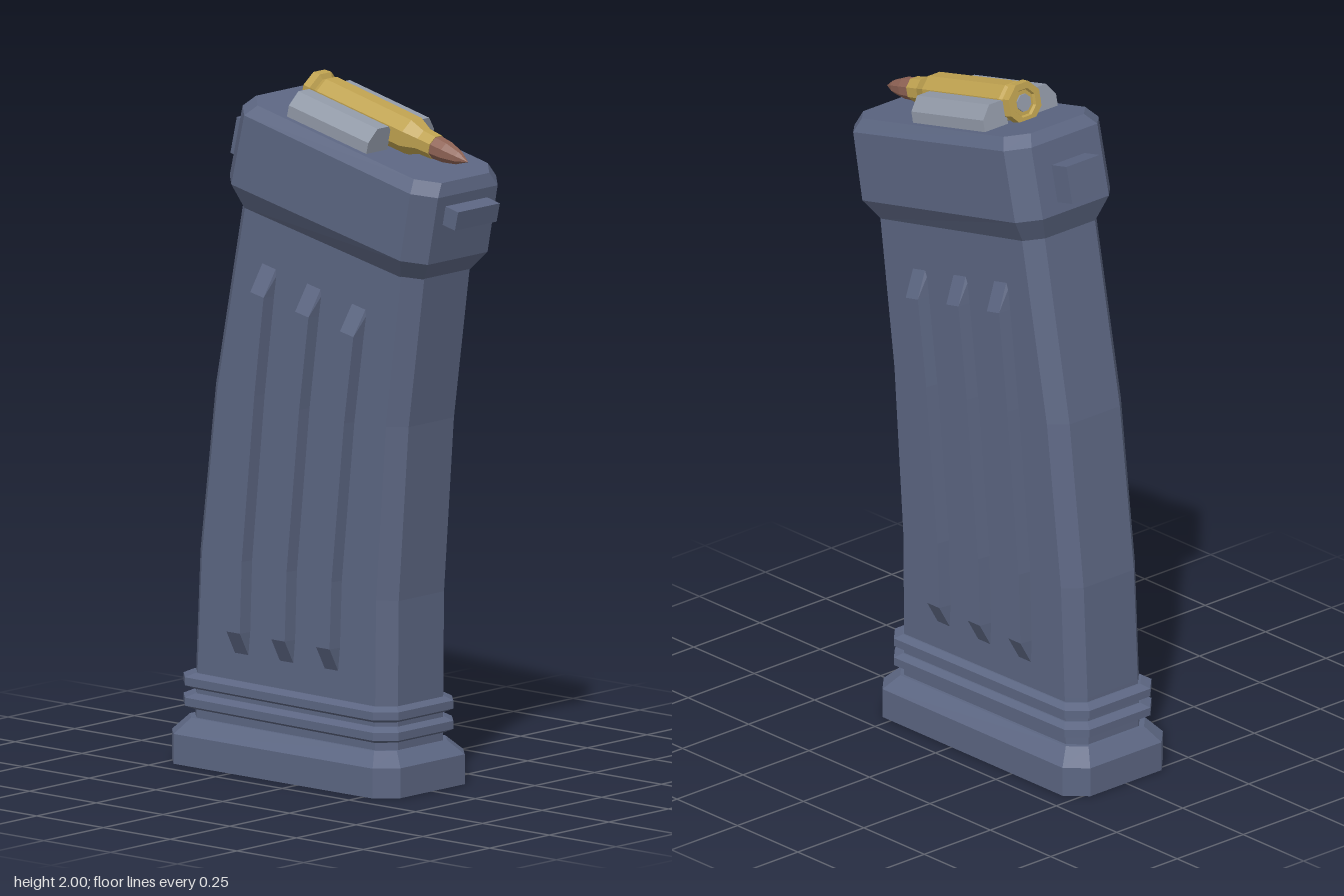
import * as THREE from 'three';

const TILT = -0.225; // lean of the top end

const mat = (name, color, flatShading = true) => {
  const m = new THREE.MeshStandardMaterial({ color, flatShading });
  m.name = name;
  return m;
};

// Flat-faced skin over equal rings (counterclockwise seen from above), capped at both ends
function loft(rings) {
  const pos = [], n = rings[0].length;
  const tri = (a, b, c) => pos.push(...a, ...b, ...c);
  for (let i = 0; i < rings.length - 1; i++) {
    for (let j = 0; j < n; j++) {
      const k = (j + 1) % n;
      const a = rings[i][j], b = rings[i][k], c = rings[i + 1][k], d = rings[i + 1][j];
      tri(a, b, c);
      tri(a, c, d);
    }
  }
  const lo = rings[0], hi = rings[rings.length - 1];
  for (let j = 1; j < n - 1; j++) {
    tri(lo[0], lo[j + 1], lo[j]);
    tri(hi[0], hi[j], hi[j + 1]);
  }
  const g = new THREE.BufferGeometry();
  g.setAttribute('position', new THREE.Float32BufferAttribute(pos, 3));
  g.computeVertexNormals();
  return g;
}

// Chamfered rectangle spanning (xl, yl) to (xr, yr), half depth hz, corner cut c
function section([xl, yl, xr, yr, hz, c]) {
  const w = xr - xl, f = c / w;
  const at = (u, z) => [xl + w * u, yl + (yr - yl) * u, z];
  return [
    at(1, hz - c), at(1, c - hz), at(1 - f, -hz), at(f, -hz),
    at(0, c - hz), at(0, hz - c), at(f, hz), at(1 - f, hz),
  ];
}

export function createModel() {
  const group = new THREE.Group();
  const casing = mat('blue grey casing', 0x5c6682);
  const steel = mat('light grey', 0x929aa8);
  const brass = mat('brass', 0xbfa250);
  const copper = mat('copper', 0x8f6355);

  const add = (name, geometry, material, parent = group) => {
    const m = new THREE.Mesh(geometry, material);
    m.name = name;
    parent.add(m);
    return m;
  };

  // Curved main body
  add('body', loft([
    [-0.465, 0.1, 0.295, 0.1, 0.14, 0.045],
    [-0.46, 0.27, 0.295, 0.25, 0.14, 0.045],
    [-0.444, 0.6, 0.298, 0.55, 0.14, 0.045],
    [-0.386, 1.08, 0.335, 1.05, 0.14, 0.045],
    [-0.28, 1.63, 0.395, 1.49, 0.14, 0.045],
  ].map(section)), casing);

  // Foot plate
  add('footPlate', loft([
    [-0.515, 0, 0.34, 0, 0.19, 0.055],
    [-0.515, 0.085, 0.34, 0.085, 0.19, 0.055],
    [-0.475, 0.13, 0.3, 0.125, 0.15, 0.045],
  ].map(section)), casing);

  // Two bands above the foot plate
  for (const y of [0.155, 0.213]) {
    add('band', loft([
      [-0.465, y, 0.295, y - 0.008, 0.145, 0.045],
      [-0.49, y + 0.01, 0.315, y + 0.002, 0.165, 0.05],
      [-0.49, y + 0.033, 0.315, y + 0.025, 0.165, 0.05],
      [-0.465, y + 0.045, 0.295, y + 0.037, 0.145, 0.045],
    ].map(section)), casing);
  }

  // Wide collar at the top
  add('collar', loft([
    [-0.285, 1.615, 0.39, 1.476, 0.14, 0.045],
    [-0.308, 1.688, 0.434, 1.53, 0.18, 0.055],
    [-0.26, 1.892, 0.472, 1.725, 0.18, 0.055],
    [-0.232, 1.92, 0.463, 1.763, 0.155, 0.055],
  ].map(section)), casing);

  // Raised ribs on both sides: height, centre x, outer z, lean factor
  const path = [
    [0.33, -0.082, 0.138, 0], [0.4, -0.08, 0.178, 0], [0.6, -0.073, 0.178, 0.04],
    [1.07, -0.026, 0.178, 0.1], [1.34, 0.009, 0.178, 0.2], [1.42, 0.021, 0.138, 0.21],
  ];
  for (const side of [1, -1]) {
    for (const k of [-0.168, 0, 0.168]) {
      const rings = path.map(([y, x, z, lean]) => {
        const p = (dx, pz) => [x + k + dx, y - lean * (k + dx), pz * side];
        const ring = [p(0.032, 0.125), p(-0.032, 0.125), p(-0.025, z), p(0.025, z)];
        return side > 0 ? ring : ring.reverse();
      });
      add('sideRib', loft(rings), casing);
    }
  }

  // Catches on the two ends
  const block = (name, w, h, d, x, y) => {
    const m = add(name, new THREE.BoxGeometry(w, h, d), casing);
    m.position.set(x, y, 0);
    m.rotation.z = TILT;
  };
  block('rearCatch', 0.12, 0.108, 0.125, -0.291, 1.774);
  block('frontCatch', 0.1, 0.055, 0.175, 0.459, 1.669);

  // Feed lips: chamfered bars lying along the tilted top
  const lips = new THREE.Group();
  lips.name = 'feedLips';
  lips.position.set(-0.085, 1.875, 0);
  lips.rotation.z = TILT;
  group.add(lips);
  for (const side of [1, -1]) {
    const s = new THREE.Shape([
      [0.05, -0.02], [0.138, -0.02], [0.138, 0.045], [0.108, 0.083], [0.062, 0.083], [0.05, 0.07],
    ].map(([z, y]) => new THREE.Vector2(-z * side, y)));
    const g = new THREE.ExtrudeGeometry(s, { depth: 0.305, bevelEnabled: false });
    add('feedLip', g.rotateY(Math.PI / 2), steel, lips);
  }

  // Cartridge: turned profiles (radius, distance from the base) along the tilted axis
  const cartridge = new THREE.Group();
  cartridge.name = 'cartridge';
  cartridge.position.set(-0.098, 1.94, 0);
  cartridge.rotation.z = TILT - Math.PI / 2;
  group.add(cartridge);
  const turned = (name, pts, material) => add(name, new THREE.LatheGeometry(
    pts.map(([r, y]) => new THREE.Vector2(r, y)), 8, Math.PI / 8), material, cartridge);
  turned('case', [
    [0, 0.008], [0.038, 0.008], [0.042, 0], [0.062, 0], [0.064, 0.025], [0.05, 0.034],
    [0.058, 0.048], [0.056, 0.375], [0.038, 0.42], [0.036, 0.465], [0, 0.465],
  ], brass);
  turned('primer', [[0, 0.003], [0.026, 0.003], [0.026, 0.01]], steel);
  turned('tip', [[0.034, 0.46], [0.031, 0.505], [0.02, 0.55], [0, 0.586]], copper);

  return group;
}
